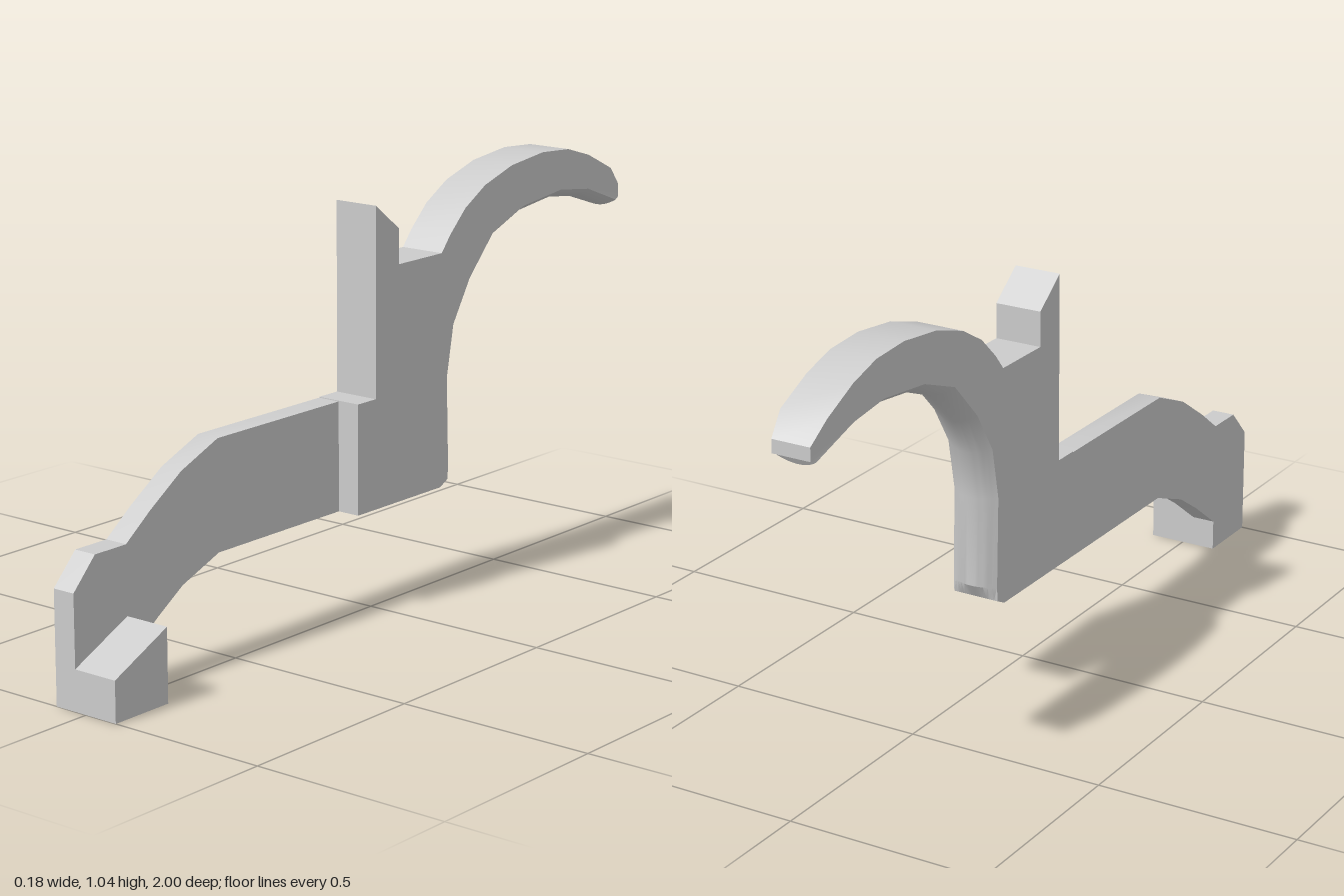
import * as THREE from 'three';
import { toCreasedNormals } from 'three/addons/utils/BufferGeometryUtils.js';

const material = new THREE.MeshStandardMaterial({ color: 0xcccccc, side: THREE.DoubleSide });
const X0 = -0.09, XS = -0.03, X1 = 0.03, X2 = 0.09;

// Extrude a [z, y] side profile from x = xa to x = xb
function slab(profile, xa, xb) {
  const shape = new THREE.Shape(profile.map(([z, y]) => new THREE.Vector2(z, y)));
  const geo = new THREE.ExtrudeGeometry(shape, { depth: xb - xa, bevelEnabled: false });
  return geo.rotateY(-Math.PI / 2).translate(xb, 0, 0);
}

// Narrow the last stretch of the hook towards its tip
function taperTip(geo) {
  const p = geo.attributes.position, mid = (X0 + X1) / 2;
  for (let i = 0; i < p.count; i++) {
    const t = Math.max(0, (-0.95 - p.getZ(i)) / 0.05);
    p.setX(i, mid + (p.getX(i) - mid) * (1 - 0.17 * t));
  }
  return geo;
}

// Skin that swells from the side edges to a middle line, both given as [z, y] paths
function crownedSkin(edge, middle, steps = 12) {
  const pos = [], index = [], row = steps + 1;
  edge.forEach(([z, y], i) => {
    for (let j = 0; j <= steps; j++) {
      const u = (2 * j) / steps - 1, w = 1 - u * u;
      pos.push(X0 + ((X1 - X0) * j) / steps,
        y + (middle[i][1] - y) * w, z + (middle[i][0] - z) * w);
      if (i && j) {
        const d = i * row + j, c = d - 1, b = d - row, a = b - 1;
        index.push(a, c, b, b, c, d);
      }
    }
  });
  const geo = new THREE.BufferGeometry();
  geo.setAttribute('position', new THREE.Float32BufferAttribute(pos, 3));
  geo.setIndex(index);
  return geo.toNonIndexed();
}

export function createModel() {
  const group = new THREE.Group();
  const add = (name, geo) => {
    const mesh = new THREE.Mesh(toCreasedNormals(geo, 0.5), material);
    mesh.name = name;
    group.add(mesh);
  };

  // Inner curve of the hook: side edges and crowned middle line
  const edge = [[-0.265, 0.27], [-0.267, 0.305], [-0.26, 0.53], [-0.285, 0.66], [-0.35, 0.765],
    [-0.445, 0.865], [-0.57, 0.912], [-0.73, 0.93], [-0.85, 0.915], [-0.985, 0.866]];
  const middle = [[-0.265, 0.27], [-0.287, 0.305], [-0.287, 0.53], [-0.31, 0.65], [-0.368, 0.745],
    [-0.46, 0.838], [-0.58, 0.887], [-0.73, 0.905], [-0.85, 0.89], [-0.975, 0.849]];

  // Upright body with notch and outer curve of the hook
  const body = [[0.085, 0.255], [0.085, 0.53], [0.018, 0.53], [0.018, 1], [-0.07, 0.932],
    [-0.07, 0.845], [-0.237, 0.845], [-0.27, 0.885], [-0.33, 0.942], [-0.41, 0.988],
    [-0.52, 1.022], [-0.65, 1.037], [-0.76, 1.03], [-0.85, 1.003], [-0.95, 0.955],
    [-1, 0.905], [-1, 0.872], ...[...edge].reverse(), [-0.235, 0.255]];
  add('hookBody', taperTip(slab(body, X0, X1)));

  // Last row folds back onto the edge to close the tip
  const end = edge[edge.length - 1];
  add('crownedInnerFace', taperTip(crownedSkin([...edge, end], [...middle, end])));

  // Thin front arm bending down to the foot
  add('frontArm', slab([[0.085, 0.255], [0.52, 0.255], [0.645, 0.207], [0.73, 0.152], [0.83, 0.078],
    [0.83, 0], [1, 0], [1, 0.275], [0.93, 0.348], [0.83, 0.348], [0.75, 0.408],
    [0.645, 0.477], [0.52, 0.528], [0.085, 0.528]], X0, XS));

  // Wedge-topped foot beside the arm
  add('foot', slab([[0.83, 0], [1, 0], [1, 0.1], [0.83, 0.18]], XS, X2));

  return group;
}
